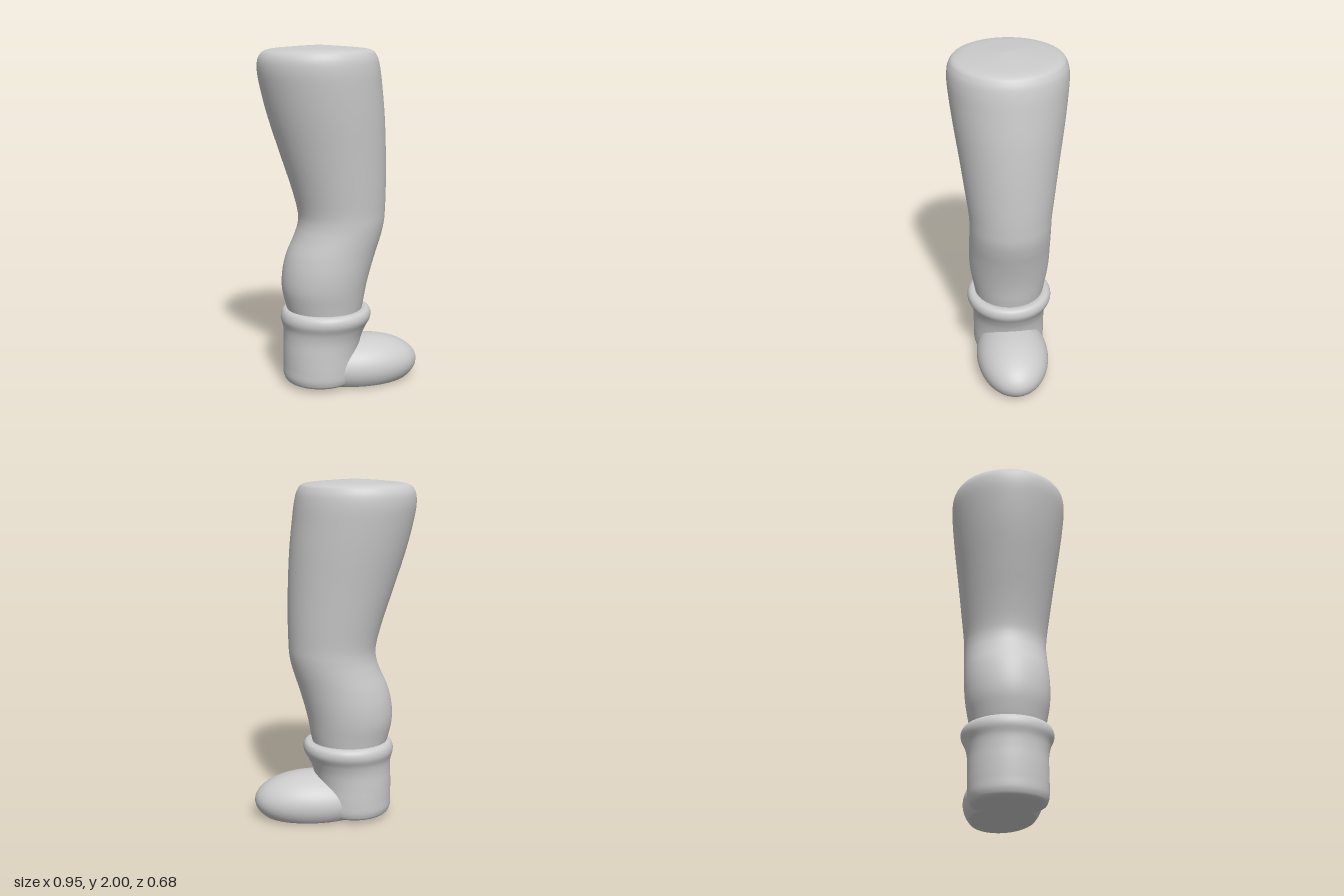
import * as THREE from 'three';

// Skin a smooth closed body over rows of [y, xMin, xMax, zHalf], listed from bottom to top
function loft(rows, steps, sides = 48) {
  const spans = new THREE.CatmullRomCurve3(
    rows.map(([y, a, b]) => new THREE.Vector3(a, y, b)), false, 'catmullrom', 0.5);
  const depths = new THREE.CatmullRomCurve3(
    rows.map(([y, , , d]) => new THREE.Vector3(d, y, 0)), false, 'catmullrom', 0.5);
  const position = [], index = [];
  for (let i = 0; i <= steps; i++) {
    const s = spans.getPoint(i / steps), d = depths.getPoint(i / steps).x;
    const cx = (s.x + s.z) / 2, rx = (s.z - s.x) / 2;
    for (let j = 0; j < sides; j++) {
      const a = (j / sides) * Math.PI * 2;
      position.push(cx + rx * Math.cos(a), s.y, d * Math.sin(a));
      if (i === steps) continue;
      const p = i * sides + j, q = i * sides + (j + 1) % sides;
      index.push(p, p + sides, q, q, p + sides, q + sides);
    }
  }
  const geometry = new THREE.BufferGeometry();
  geometry.setAttribute('position', new THREE.Float32BufferAttribute(position, 3));
  geometry.setIndex(index);
  geometry.computeVertexNormals();
  return geometry;
}

export function createModel() {
  const group = new THREE.Group();
  const grey = new THREE.MeshStandardMaterial({ color: 0xcccccc });
  grey.name = 'light grey';
  const add = (name, geometry) => {
    const mesh = new THREE.Mesh(geometry, grey);
    mesh.name = name;
    group.add(mesh);
    return mesh;
  };

  // Thigh, bent knee and calf in one skin, closed by a shallow domed top
  add('leg', loft([
    [0.40, -0.30, 0.11, 0.20],
    [0.50, -0.33, 0.132, 0.217],
    [0.60, -0.35, 0.15, 0.235],
    [0.70, -0.345, 0.175, 0.243],
    [0.80, -0.32, 0.205, 0.243],
    [0.90, -0.275, 0.237, 0.241],
    [0.98, -0.25, 0.256, 0.24],
    [1.06, -0.253, 0.262, 0.243],
    [1.20, -0.29, 0.265, 0.26],
    [1.40, -0.355, 0.262, 0.286],
    [1.60, -0.418, 0.252, 0.314],
    [1.76, -0.458, 0.236, 0.333],
    [1.87, -0.475, 0.222, 0.34],
    [1.94, -0.462, 0.202, 0.327],
    [1.975, -0.41, 0.16, 0.285],
    [1.99, -0.27, 0.02, 0.145],
    [2.00, -0.126, -0.124, 0.001],
  ], 96));

  // Boot shaft with rounded heel and flared collar
  add('bootShaft', loft([
    [0.005, -0.121, -0.119, 0.001],
    [0.012, -0.20, -0.04, 0.09],
    [0.025, -0.31, 0.06, 0.19],
    [0.06, -0.343, 0.095, 0.217],
    [0.13, -0.346, 0.10, 0.222],
    [0.22, -0.346, 0.105, 0.222],
    [0.30, -0.343, 0.122, 0.224],
    [0.36, -0.345, 0.147, 0.236],
    [0.41, -0.358, 0.174, 0.257],
    [0.445, -0.354, 0.176, 0.257],
    [0.468, -0.338, 0.162, 0.24],
    [0.472, -0.31, 0.13, 0.21],
    [0.455, -0.26, 0.07, 0.15],
  ], 84));

  // Rounded toe, flattened along the sole
  const toe = new THREE.SphereGeometry(1, 64, 48);
  toe.scale(0.352, 0.17, 0.22).translate(0.12, 0.11, 0);
  const points = toe.attributes.position;
  for (let i = 0; i < points.count; i++) points.setY(i, Math.max(points.getY(i), 0.013));
  toe.computeVertexNormals();
  add('bootToe', toe);

  // Rest the lowest point of the heel on the ground
  group.children.forEach((m) => { if (m.name !== 'leg') m.position.y = -0.004; });
  return group;
}
